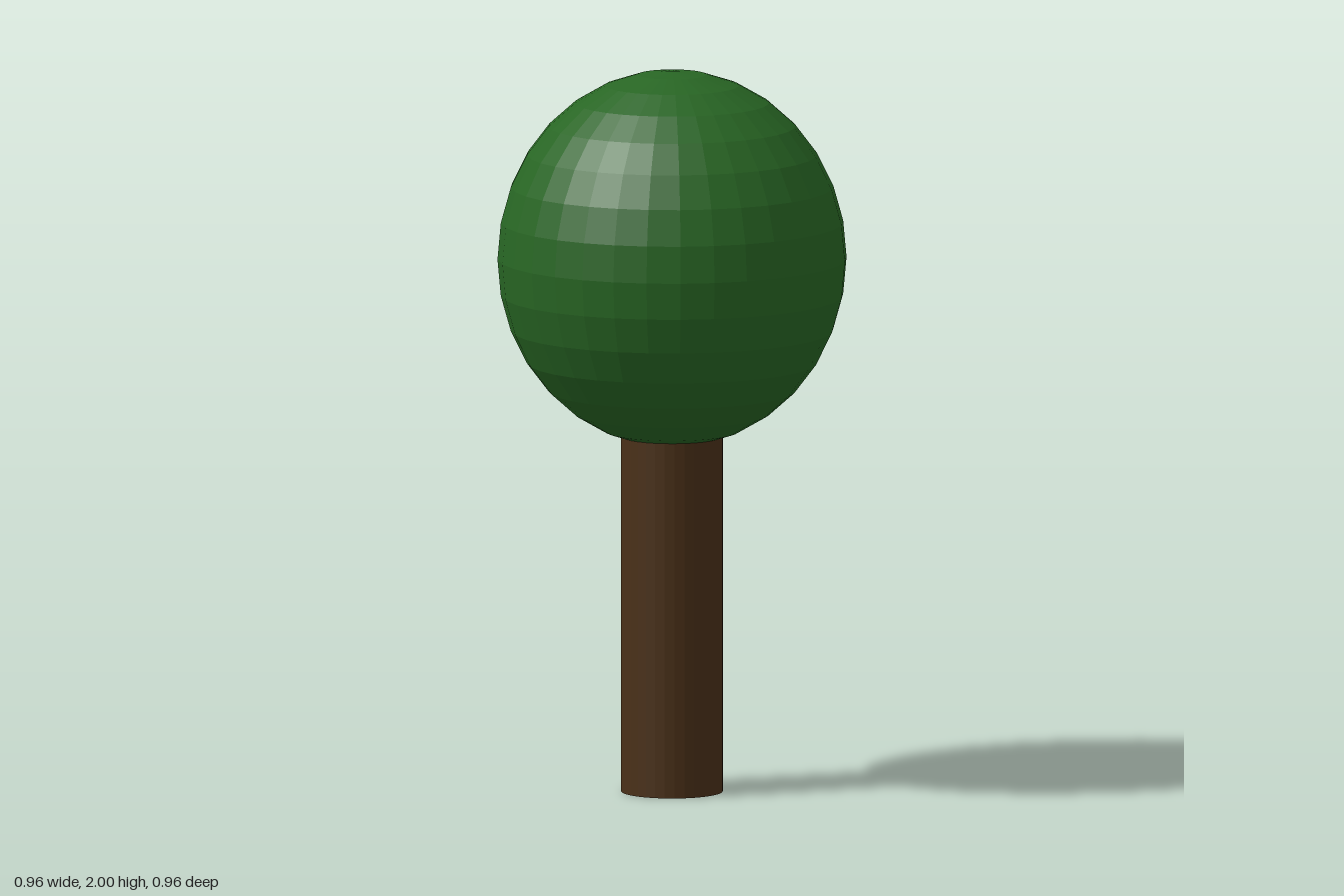
import * as THREE from 'three';

export function createModel() {
  const tree = new THREE.Group();
  tree.name = 'tree';

  const addPart = (name, geometry, color, y) => {
    const material = new THREE.MeshStandardMaterial({ color, flatShading: true });
    const mesh = new THREE.Mesh(geometry, material);
    mesh.name = name;
    mesh.position.y = y;
    tree.add(mesh);
    return mesh;
  };

  // Straight round trunk, closed at both ends
  const trunkHeight = 1.0;
  addPart('trunk', new THREE.CylinderGeometry(0.14, 0.14, trunkHeight, 32), 0x4a3018, trunkHeight / 2);

  // Faceted crown, slightly taller than wide
  const crown = addPart('crown', new THREE.SphereGeometry(1, 32, 16), 0x28662a, 1.48);
  crown.material.color.set(0x286624);
  crown.geometry.scale(0.48, 0.52, 0.48);

  return tree;
}
